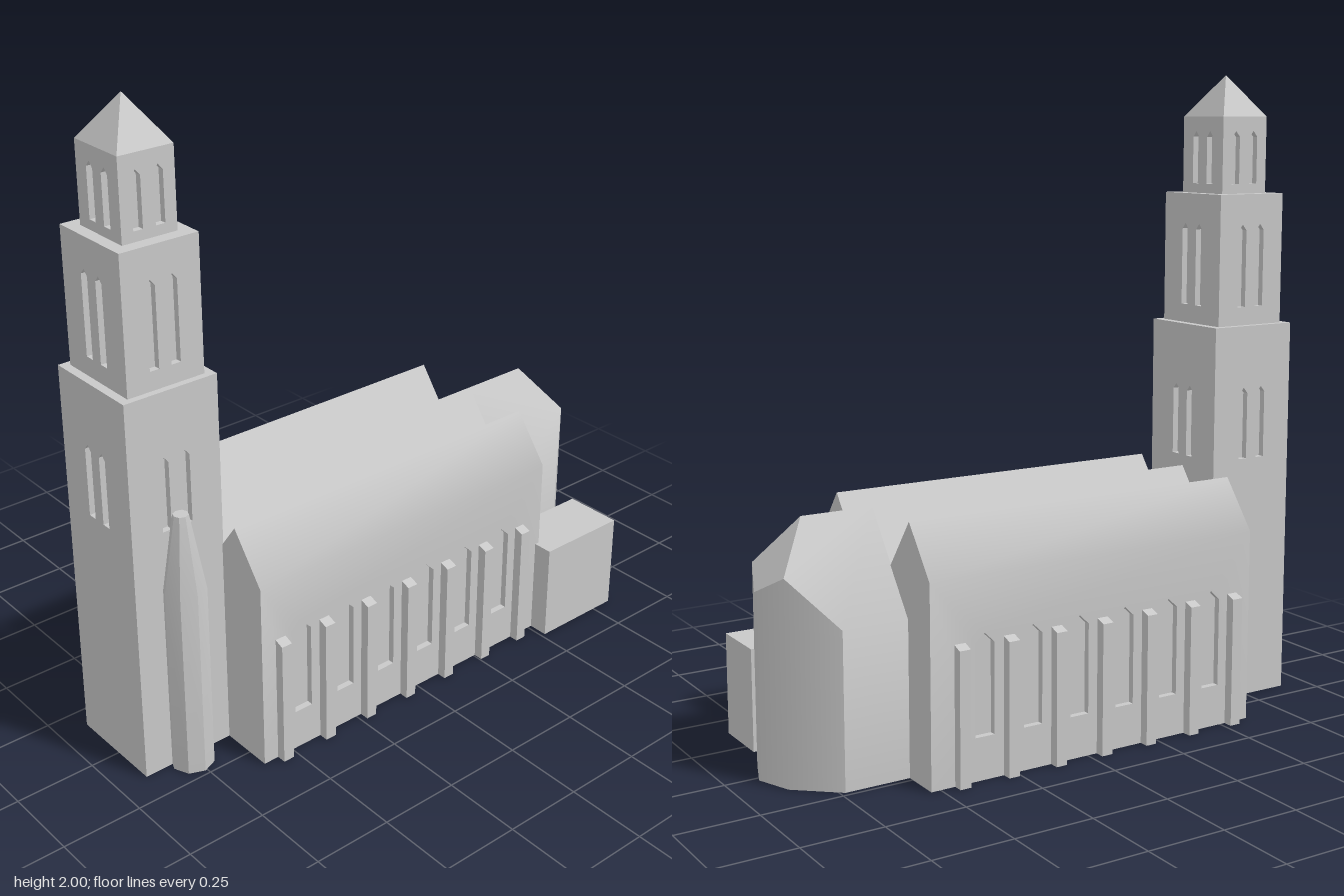
import * as THREE from 'three';
import { mergeGeometries, toCreasedNormals } from 'three/addons/utils/BufferGeometryUtils.js';
import { ConvexGeometry } from 'three/addons/geometries/ConvexGeometry.js';

const CZ = -0.018;      // long axis of the church
const RECESS = 0.02;    // window depth
const CREASE = 0.69;

export function createModel() {
  const root = new THREE.Group();
  root.name = 'church';
  const stone = new THREE.MeshStandardMaterial({ color: 0xc8c8c8 });
  stone.name = 'stone';

  const add = (name, geo, x = 0, y = 0, z = 0, parent = root) => {
    const mesh = new THREE.Mesh(geo, stone);
    mesh.name = name;
    mesh.position.set(x, y, z);
    parent.add(mesh);
    return mesh;
  };

  // Wall slab with pointed window openings, outer face at z = out
  const wallPanel = (w, h, out, centres, win) => {
    const s = new THREE.Shape();
    s.moveTo(-w / 2, 0).lineTo(w / 2, 0).lineTo(w / 2, h).lineTo(-w / 2, h).closePath();
    for (const c of centres) {
      const r = win.w / 2;
      const p = new THREE.Path();
      p.moveTo(c - r, win.y0).lineTo(c - r, win.y1 - win.point).lineTo(c, win.y1);
      p.lineTo(c + r, win.y1 - win.point).lineTo(c + r, win.y0).closePath();
      s.holes.push(p);
    }
    const g = new THREE.ExtrudeGeometry(s, { depth: RECESS, bevelEnabled: false });
    return g.translate(0, 0, out - RECESS);
  };

  // Tower: three shrinking stages with paired windows on each side
  const tower = new THREE.Group();
  tower.name = 'tower';
  tower.position.set(-0.754, 0, CZ + 0.003);
  root.add(tower);
  const stages = [
    { w: 0.304, d: 0.325, y: 0, top: 1.217, y0: 0.79, y1: 1.02 },
    { w: 0.25, d: 0.283, y: 1.217, top: 1.63, y0: 1.275, y1: 1.535 },
    { w: 0.174, d: 0.2, y: 1.63, top: 1.87, y0: 1.66, y1: 1.825 },
  ];
  stages.forEach((st, i) => {
    const h = st.top - st.y;
    const win = { w: 0.03, y0: st.y0 - st.y, y1: st.y1 - st.y, point: 0.018 };
    const pair = [-0.035, 0.035];
    const parts = [
      new THREE.BoxGeometry(st.w - 2 * RECESS, h, st.d - 2 * RECESS).translate(0, h / 2, 0).toNonIndexed(),
    ];
    for (const turn of [0, Math.PI]) {
      parts.push(wallPanel(st.w, h, st.d / 2, pair, win).rotateY(turn));
      parts.push(wallPanel(st.d - 2 * RECESS, h, st.w / 2, pair, win).rotateY(turn + Math.PI / 2));
    }
    add('towerStage' + (i + 1), mergeGeometries(parts), 0, st.y, 0, tower);
  });

  // Pyramid roof of the tower
  const spire = new THREE.ConeGeometry(Math.SQRT1_2, 0.13, 4).rotateY(Math.PI / 4)
    .scale(0.174, 1, 0.2).toNonIndexed();
  spire.computeVertexNormals();
  add('towerRoof', spire, 0, 1.935, 0, tower);

  // Eight-sided stair turret
  const turretProfile = [[0, 0], [0.066, 0], [0.066, 0.605], [0.023, 0.842], [0, 0.842]]
    .map(([r, y]) => new THREE.Vector2(r, y));
  add('stairTurret', toCreasedNormals(new THREE.LatheGeometry(turretProfile, 8), CREASE), -0.757, 0, 0.169);

  // Three parallel gabled aisles with windowed outer walls
  const x0 = -0.605, x1 = 0.53, half = 0.341, eave = 0.605, ridge = 0.755;
  const inner = half - RECESS;
  const hall = new THREE.Shape([
    [-inner, 0], [inner, 0], [inner, eave], [half, eave], [0.226, ridge], [0.113, eave],
    [0, ridge], [-0.113, eave], [-0.226, ridge], [-half, eave], [-inner, eave],
  ].map(([x, y]) => new THREE.Vector2(x, y)));
  const hallGeo = new THREE.ExtrudeGeometry(hall, { depth: x1 - x0, bevelEnabled: false })
    .rotateY(Math.PI / 2).translate(x0, 0, 0);
  const mid = (x0 + x1) / 2;
  const centres = Array.from({ length: 6 }, (_, i) => -0.456 + 0.162 * i - mid);
  const win = { w: 0.063, y0: 0.13, y1: 0.435, point: 0.03 };
  const frontWall = wallPanel(x1 - x0, eave, half, centres, win).translate(mid, 0, 0);
  const backWall = wallPanel(x1 - x0, eave, half, centres.map(c => -c), win)
    .rotateY(Math.PI).translate(mid, 0, 0);
  add('nave', toCreasedNormals(mergeGeometries([hallGeo, frontWall, backWall]), CREASE), 0, 0, CZ);

  // Buttresses with slightly sloping tops on both long walls
  const section = new THREE.Shape();
  section.moveTo(0, 0).lineTo(0.04, 0).lineTo(0.04, 0.405).lineTo(0, 0.42).closePath();
  const buttress = new THREE.ExtrudeGeometry(section, { depth: 0.036, bevelEnabled: false })
    .translate(0, 0, -0.018);
  for (const side of [1, -1]) {
    for (let i = 0; i < 7; i++) {
      const b = add('buttress', buttress, -0.537 + 0.162 * i, 0, CZ + side * (half - 0.01));
      b.rotation.y = -side * Math.PI / 2;
    }
  }

  // Choir with a hipped, five-cornered apse
  const slope = (ridge - 0.47) / 0.215;
  const shoulder = ridge - slope * 0.108;
  const tip = ridge - (ridge - shoulder) / (0.86 - 0.755) * (0.902 - 0.755);
  const corners = [[0.528, ridge, 0], [0.755, ridge, 0], [0.902, tip, 0], [0.902, 0, 0]];
  for (const s of [1, -1]) {
    for (const [x, y, z] of [[0.528, 0.47, 0.215], [0.735, 0.47, 0.215], [0.86, shoulder, 0.108]]) {
      corners.push([x, y, s * z], [x, 0, s * z]);
    }
  }
  const choir = new ConvexGeometry(corners.map(c => new THREE.Vector3(...c)));
  add('choir', toCreasedNormals(choir, CREASE), 0, 0, CZ);

  // Flat-roofed annex beside the choir
  add('annex', new THREE.BoxGeometry(0.31, 0.318, 0.19), 0.67, 0.159, 0.292);

  return root;
}
